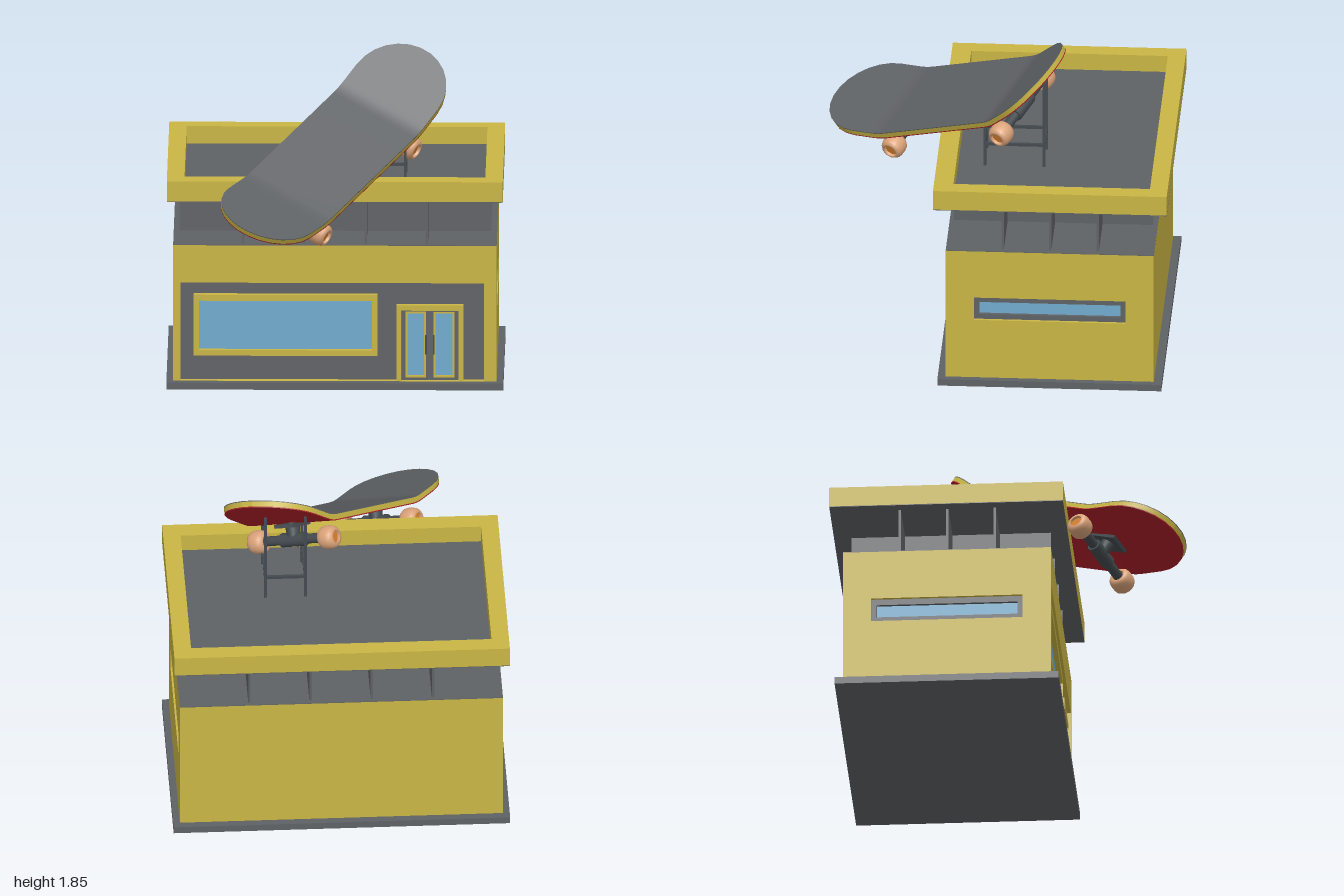
import * as THREE from 'three';

const material = (name, color) => {
  const m = new THREE.MeshStandardMaterial({ color });
  m.name = name;
  return m;
};

export function createModel() {
  const yellow = material('yellow paint', 0xc9b544);
  const gray = material('gray', 0x5f6265);
  const glass = material('blue glass', 0x70abce);
  const dark = material('dark metal', 0x434a4f);
  const red = material('red', 0xab1e28);
  const tan = material('tan wheel', 0xdba37a);
  const orange = material('orange hub', 0xd9822f);
  const model = new THREE.Group();

  const add = (parent, name, geo, mat) => {
    const mesh = new THREE.Mesh(geo, mat);
    mesh.name = name;
    parent.add(mesh);
    return mesh;
  };
  // box given by its limits on each axis
  const box = (parent, name, mat, [x0, x1], [y0, y1], [z0, z1]) => {
    const geo = new THREE.BoxGeometry(x1 - x0, y1 - y0, z1 - z0);
    return add(parent, name, geo.translate((x0 + x1) / 2, (y0 + y1) / 2, (z0 + z1) / 2), mat);
  };
  // rectangular plate with a rectangular hole; each rectangle is [x0, x1, y0, y1]
  const corners = ([x0, x1, y0, y1]) => [[x0, y0], [x1, y0], [x1, y1], [x0, y1]].map(p => new THREE.Vector2(...p));
  const ring = (parent, name, mat, outer, inner, z0, z1) => {
    const shape = new THREE.Shape(corners(outer));
    shape.holes.push(new THREE.Path(corners(inner).reverse()));
    const geo = new THREE.ExtrudeGeometry(shape, { depth: z1 - z0, bevelEnabled: false });
    return add(parent, name, geo.translate(0, 0, z0), mat);
  };

  // ---- Building body ----
  box(model, 'baseSlab', gray, [-0.95, 0.95], [0, 0.04], [-0.97, 0.295]);
  box(model, 'innerCore', gray, [-0.87, 0.87], [0.04, 0.83], [-0.9, 0.21]);
  ring(model, 'frontWall', yellow, [-0.912, 0.912, 0.04, 0.83], [-0.87, 0.84, 0.0401, 0.612], 0.21, 0.25);
  box(model, 'backWall', yellow, [-0.872, 0.872], [0.04, 0.83], [-0.925, -0.9]);
  box(model, 'bodyTop', gray, [-0.912, 0.912], [0.83, 0.834], [-0.925, 0.25]);

  // side walls with a sunken strip window
  for (const s of [1, -1]) {
    const side = new THREE.Group();
    side.name = s > 0 ? 'leftSide' : 'rightSide';
    side.rotation.y = s * Math.PI / 2;
    const span = (z0, z1) => [-s * z0, -s * z1].sort((a, b) => a - b);
    const hole = [...span(0.09, -0.765), 0.4, 0.54], pane = [...span(0.06, -0.735), 0.43, 0.505];
    ring(side, 'sideWall', yellow, [...span(0.21, -0.925), 0.04, 0.83], hole, 0.87, 0.912);
    ring(side, 'sideWindowFrame', gray, hole, pane, 0.87, 0.895);
    box(side, 'sideWindowGlass', glass, pane.slice(0, 2), pane.slice(2), [0.87, 0.877]);
    model.add(side);
  }

  // ---- Shop window and entrance ----
  const pane = [-0.766, 0.21, 0.218, 0.505];
  ring(model, 'shopWindowFrame', yellow, [-0.796, 0.24, 0.185, 0.54], pane, 0.21, 0.245);
  box(model, 'shopWindowGlass', glass, pane.slice(0, 2), pane.slice(2), [0.21, 0.217]);
  ring(model, 'doorFrame', yellow, [0.346, 0.724, 0.04, 0.48], [0.374, 0.697, 0.0401, 0.45], 0.21, 0.245);
  for (const s of [-1, 1]) {
    const c = 0.535 + s * 0.08;
    const opening = [c - 0.058, c + 0.058, 0.055, 0.44], view = [c - 0.047, c + 0.047, 0.068, 0.428];
    ring(model, 'doorLeaf', gray, [c - 0.079, c + 0.079, 0.042, 0.449], opening, 0.21, 0.228);
    ring(model, 'doorTrim', yellow, opening, view, 0.21, 0.224);
    box(model, 'doorGlass', glass, view.slice(0, 2), view.slice(2), [0.21, 0.217]);
    const h = 0.535 + s * 0.022;
    box(model, 'doorHandle', dark, [h - 0.005, h + 0.005], [0.195, 0.307], [0.24, 0.248]);
    for (const y of [0.215, 0.28]) box(model, 'handleMount', dark, [h - 0.004, h + 0.004], [y, y + 0.01], [0.226, 0.242]);
  }

  // ---- Crossing fins that carry the roof ----
  for (const x of [-0.518, -0.173, 0.173, 0.518]) {
    box(model, 'crossFin', gray, [x - 0.007, x + 0.007], [0.83, 1.1], [-0.9, 0.225]);
  }
  for (const z of [-0.07, -0.338, -0.606]) {
    box(model, 'longFin', gray, [-0.88, 0.88], [0.83, 1.1], [z - 0.007, z + 0.007]);
  }

  // ---- Roof ----
  const fascia = ring(model, 'roofFascia', yellow, [-0.947, 0.947, -0.32, 1], [-0.848, 0.848, -0.21, 0.9], 1.104, 1.22);
  fascia.rotation.x = -Math.PI / 2;
  box(model, 'roofUnderside', gray, [-0.947, 0.947], [1.1, 1.104], [-1, 0.32]);
  box(model, 'roofDeck', gray, [-0.848, 0.848], [1.104, 1.12], [-0.9, 0.21]);

  // ---- Support rack ----
  const rackX = [0.17, 0.395], rackZ = [-0.275, 0.06], r = 0.008;
  for (const x of rackX) {
    for (const z of rackZ) {
      box(model, 'rackPost', dark, [x - r, x + r], [1.12, z < 0 ? 1.66 : 1.41], [z - r, z + r]);
    }
    box(model, 'rackRail', dark, [x - r, x + r], [1.247, 1.263], rackZ);
  }
  for (const z of rackZ) box(model, 'rackRail', dark, rackX, [1.247, 1.263], [z - r, z + r]);

  // ---- Skateboard: local x across, y up, -z towards the raised tail ----
  const board = new THREE.Group();
  board.name = 'skateboard';
  const along = new THREE.Vector3(0.57, 0.386, -0.724).normalize();
  const up = new THREE.Vector3(0.82, -0.355, 0.45).cross(along).normalize();
  const across = along.clone().cross(up);
  board.applyMatrix4(new THREE.Matrix4().makeBasis(across, up, along.clone().negate()));
  board.position.set(-0.012, 1.357, 0.243);
  model.add(board);

  // deck: a divided box bent up and rounded at both ends
  const half = 0.28, start = 0.6275, kink = 0.4;
  const stations = [[0, half], [0.2, half], [kink, half], [0.425, half], [0.45, half], [0.475, half], [0.5, half], [0.56, half]];
  for (let i = 0; i <= 6; i++) {
    const a = (i / 6) * 1.45;
    stations.push([start + half * Math.sin(a), half * Math.cos(a)]);
  }
  const n = stations.length - 1;
  const bend = (s, angle) => {
    const d = Math.max(0, s - kink), t = Math.tan(angle);
    const run = Math.max(0, d - 0.05) * Math.cos(angle);
    return [Math.min(s, kink + 0.05) + run, d < 0.1 ? t * d * d / 0.2 : t * run + t * 0.05 * (1 - Math.cos(angle)) * 0.5];
  };
  const slab = (name, top, bottom, mats) => {
    const geo = new THREE.BoxGeometry(2, 2, 2, 1, 1, 2 * n);
    const p = geo.attributes.position;
    for (let i = 0; i < p.count; i++) {
      const z = p.getZ(i);
      const [s, w] = stations[Math.round(Math.abs(z) * n)];
      const [l, h] = bend(s, z < 0 ? 0.314 : 0.262);
      p.setXYZ(i, p.getX(i) * w, h + (p.getY(i) > 0 ? top : bottom), Math.sign(z) * l);
    }
    geo.computeVertexNormals();
    add(board, name, geo, mats);
  };
  slab('gripLayer', 0, -0.005, gray);
  slab('deck', -0.005, -0.034, [yellow, yellow, yellow, red, yellow, yellow]);
  slab('deckBottom', -0.034, -0.04, red);

  // trucks and wheels
  const tyre = [[0.036, -0.05], [0.05, -0.05], [0.062, -0.036], [0.067, -0.014], [0.067, 0.014], [0.062, 0.036], [0.05, 0.05], [0.036, 0.05], [0.036, -0.05]];
  const tyreGeo = new THREE.LatheGeometry(tyre.map(p => new THREE.Vector2(...p)), 20).rotateZ(-Math.PI / 2);
  const hubGeo = new THREE.CylinderGeometry(0.037, 0.037, 0.07, 20).rotateZ(Math.PI / 2);
  const axleGeo = new THREE.CylinderGeometry(0.028, 0.028, 0.4, 12).rotateZ(Math.PI / 2);
  const hangerGeo = new THREE.CylinderGeometry(0.04, 0.04, 0.16, 12).rotateZ(Math.PI / 2);
  for (const z of [-0.437, 0.437]) {
    const truck = new THREE.Group();
    truck.name = z < 0 ? 'rearTruck' : 'frontTruck';
    truck.position.set(0, -0.13, z);
    add(truck, 'axle', axleGeo, dark);
    add(truck, 'hanger', hangerGeo, dark);
    add(truck, 'pivot', new THREE.CylinderGeometry(0.045, 0.035, 0.1, 12), dark).position.y = 0.05;
    box(truck, 'basePlate', dark, [-0.065, 0.065], [0.075, 0.095], [-0.09, 0.09]);
    for (const x of [-0.235, 0.235]) {
      add(truck, 'wheel', tyreGeo, tan).position.x = x;
      add(truck, 'wheelHub', hubGeo, orange).position.x = x;
    }
    board.add(truck);
  }
  return model;
}
